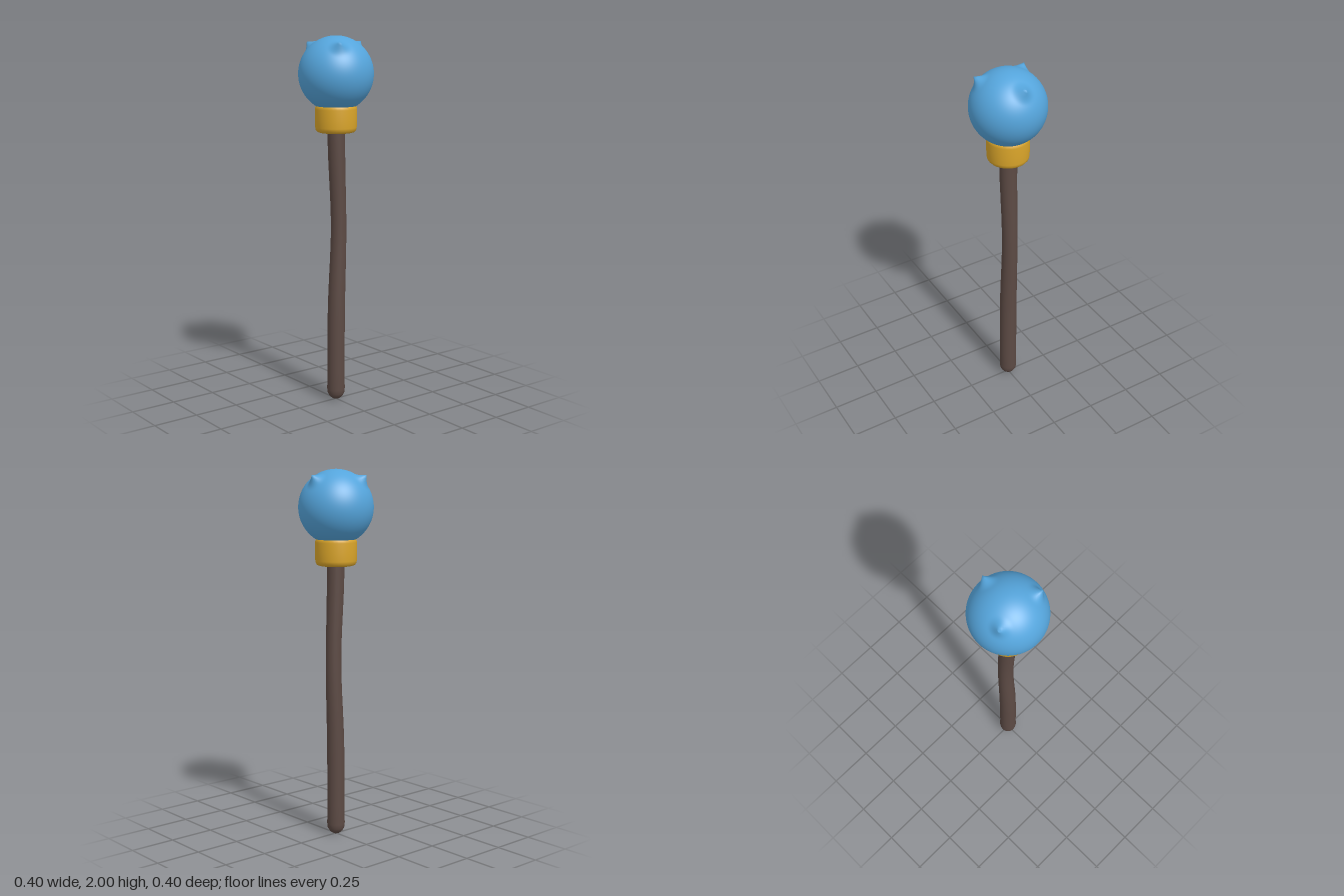
import * as THREE from 'three';
import { mergeVertices } from 'three/addons/utils/BufferGeometryUtils.js';

const material = (name, color) => {
  const m = new THREE.MeshStandardMaterial({ color });
  m.name = name;
  return m;
};

// Moves every vertex by a rule, then rebuilds seamless smooth normals
function reshape(geometry, rule) {
  geometry.deleteAttribute('uv');
  geometry.deleteAttribute('normal');
  const g = mergeVertices(geometry, 1e-5);
  const pos = g.attributes.position;
  const v = new THREE.Vector3();
  for (let i = 0; i < pos.count; i++) {
    rule(v.fromBufferAttribute(pos, i));
    pos.setXYZ(i, v.x, v.y, v.z);
  }
  g.computeVertexNormals();
  return g;
}

const lathe = (points, sides) =>
  new THREE.LatheGeometry(points.map(([r, y]) => new THREE.Vector2(r, y)), sides);

export function createModel() {
  const group = new THREE.Group();
  const add = (name, geometry, mat) => {
    const mesh = new THREE.Mesh(geometry, mat);
    mesh.name = name;
    group.add(mesh);
  };

  // Wooden shaft: rounded foot, slim waist, gentle sideways bow
  const profile = [[0, 0], [0.018, 0.004], [0.036, 0.018], [0.046, 0.036], [0.049, 0.06]];
  for (let i = 1; i <= 14; i++) {
    const y = 0.06 + (1.5 / 14) * i;
    profile.push([0.048 - 0.006 * Math.exp(-(((y - 1) / 0.35) ** 2)), y]);
  }
  const shaft = reshape(lathe(profile, 20), (v) => {
    v.x += 0.018 * Math.exp(-(((v.y - 0.97) / 0.33) ** 2));
  });
  add('shaft', shaft, material('dark wood', 0x5c4a44));

  // Collar with softened rims
  const collar = lathe([
    [0, 1.49], [0.085, 1.49], [0.099, 1.494], [0.108, 1.504], [0.111, 1.518],
    [0.112, 1.56], [0.112, 1.615], [0.109, 1.629], [0.102, 1.635], [0, 1.635],
  ], 32);
  add('collar', collar, material('gold', 0xdaa52a));

  // Orb with three small spikes drawn out of its surface
  const spikes = [0, 1, 2].map((i) => {
    const a = (i * Math.PI * 2) / 3;
    return new THREE.Vector3(Math.cos(a), 1, Math.sin(a)).normalize();
  });
  const orb = reshape(new THREE.SphereGeometry(0.2, 96, 64), (v) => {
    const angle = Math.min(...spikes.map((s) => v.angleTo(s)));
    v.setLength(0.2 + 0.037 * Math.max(0, 1 - angle / 0.32) ** 2.2);
  });
  orb.translate(0, 1.8, 0);
  add('orb', orb, material('blue', 0x55a5dc));

  return group;
}
